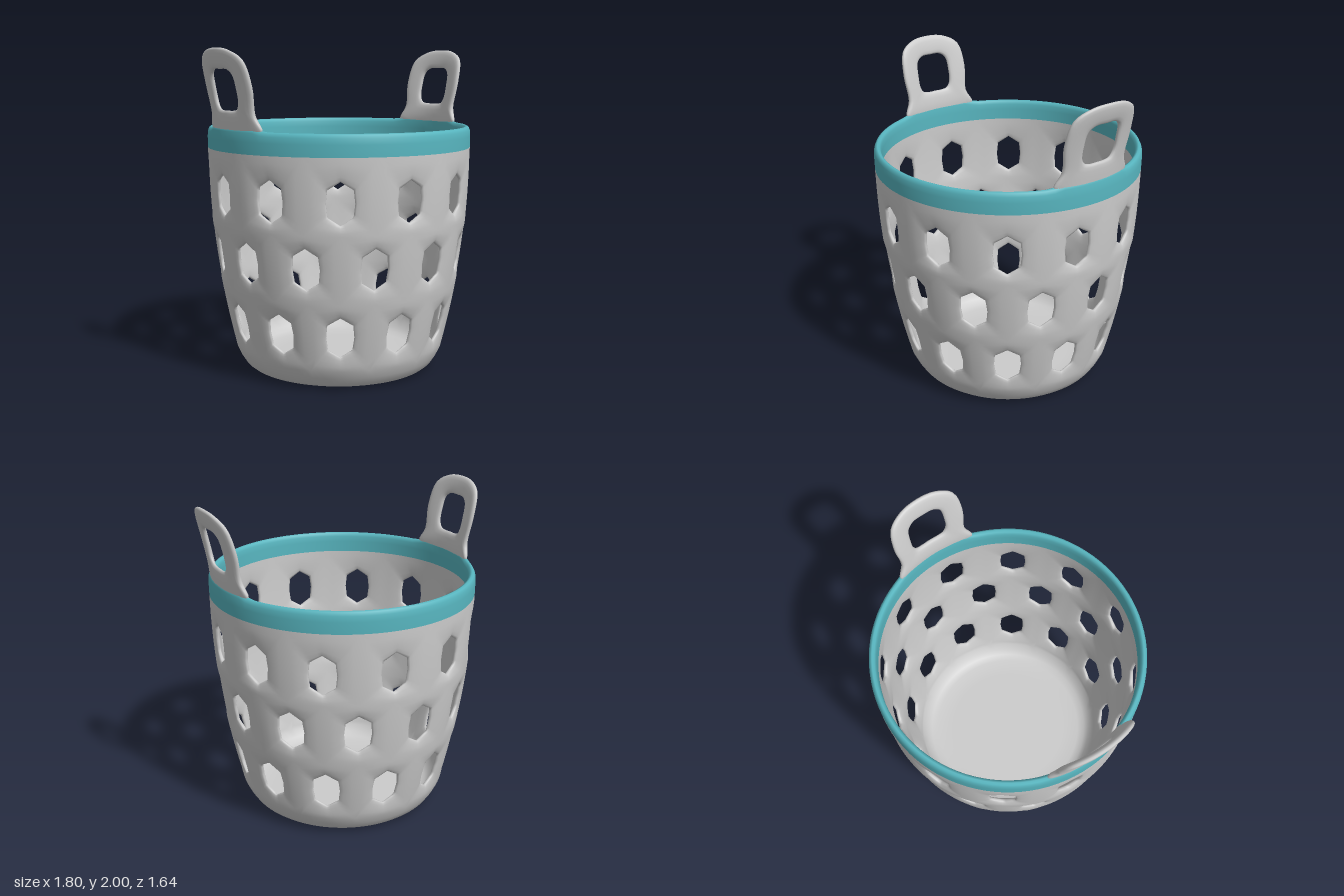
import * as THREE from 'three';
import { mergeGeometries, mergeVertices } from 'three/addons/utils/BufferGeometryUtils.js';

const SEGMENTS = 96, HOLES = 12, WALL = 0.045;
const outerRadius = y => 0.82 - 0.1 * (1.4 - y) ** 2;

// Point on a cylinder: angle runs from +z towards +x
const polar = (phi, r, y) => [r * Math.sin(phi), y, r * Math.cos(phi)];

// Skin of closed rings of [x, y, z] points
function loft(rings, closed = false) {
  const n = rings[0].length, index = [];
  const last = closed ? rings.length : rings.length - 1;
  for (let k = 0; k < last; k++) for (let i = 0; i < n; i++) {
    const k1 = ((k + 1) % rings.length) * n, i1 = (i + 1) % n;
    const a = k * n + i, b = k * n + i1, c = k1 + i1, d = k1 + i;
    index.push(a, b, d, b, c, d);
  }
  const geo = new THREE.BufferGeometry();
  geo.setAttribute('position', new THREE.Float32BufferAttribute(rings.flat(2), 3));
  geo.setIndex(index);
  return geo;
}

function lathe(points) {
  const geo = new THREE.LatheGeometry(points.map(p => new THREE.Vector2(...p)), SEGMENTS);
  geo.deleteAttribute('uv');
  geo.deleteAttribute('normal');
  return geo;
}

function smooth(geos) {
  const geo = mergeVertices(mergeGeometries(geos), 1e-4);
  geo.computeVertexNormals();
  return geo;
}

// Square border and octagonal hole, 32 matching points each, counter-clockwise
const border = [], octagon = [];
const corners = [[1, -1], [1, 1], [-1, 1], [-1, -1]];
const holeCorners = [[0.076, -0.078], [0.085, 0], [0.076, 0.078], [0, 0.125],
  [-0.076, 0.078], [-0.085, 0], [-0.076, -0.078], [0, -0.125]];
const mix = (a, b, t) => a.map((v, i) => v + (b[i] - v) * t);
for (let i = 0; i < 32; i++) {
  border.push(mix(corners[i >> 3], corners[((i >> 3) + 1) % 4], (i % 8) / 8));
  octagon.push(mix(holeCorners[i >> 2], holeCorners[((i >> 2) + 1) % 8], (i % 4) / 4));
}

// Wall section around a hole: [way from border to hole, depth into the wall]
const section = [[0, 0], [0.3, 0], [0.55, 0.06], [0.78, 0.16], [0.93, 0.27], [1, 0.4],
  [1, 0.65], [0.93, 0.78], [0.78, 0.88], [0.5, 0.97], [0.25, 1], [0, 1]];

// One wall cell with a rounded opening
function wallCell(phi, y0, y1, holeY) {
  const mid = (y0 + y1) / 2, half = (y1 - y0) / 2, width = Math.PI / HOLES;
  return loft(section.map(([t, depth]) => border.map(([bx, by], i) => {
    const [hx, hy] = octagon[i];
    const edge = [bx * width, mid + by * half];
    const hole = [hx / outerRadius(holeY), holeY + hy];
    const [a, y] = mix(edge, hole, t);
    return polar(phi + a, outerRadius(y) - WALL * depth, y);
  })));
}

function basketGeometry() {
  const levels = [0.13, 0.545, 0.955, 1.4], holeYs = [0.343, 0.755, 1.14];
  const geos = [];
  holeYs.forEach((holeY, row) => {
    const offset = THREE.MathUtils.degToRad(row === 1 ? 7.5 : -7.5);
    for (let i = 0; i < HOLES; i++) {
      geos.push(wallCell(offset + i * 2 * Math.PI / HOLES, levels[row], levels[row + 1], holeY));
    }
  });
  const r = outerRadius(0.13);
  // Underside and rounded foot, then the floor inside
  geos.push(lathe([[0, 0], [0.4, 0], [0.52, 0], [0.55, 0.004], [0.58, 0.015], [0.607, 0.037],
    [0.635, 0.08], [r, 0.13]]));
  geos.push(lathe([[r - WALL, 0.13], [0.585, 0.088], [0.555, 0.063], [0.51, 0.048],
    [0.4, 0.045], [0, 0.045]]));
  return smooth(geos);
}

// Coloured rim, rising slightly where the handles meet it
function rimGeometry() {
  const geo = smooth([lathe([[0.82, 1.4], [0.821, 1.47], [0.818, 1.505], [0.809, 1.524],
    [0.797, 1.53], [0.784, 1.524], [0.776, 1.505], [0.775, 1.47], [0.775, 1.4]])]);
  const p = geo.attributes.position;
  for (let i = 0; i < p.count; i++) {
    if (p.getY(i) < 1.5) continue;
    const rise = 1 - THREE.MathUtils.smoothstep(Math.abs(p.getZ(i)), 0.2, 0.29);
    p.setY(i, p.getY(i) + 0.018 * rise);
  }
  geo.computeVertexNormals();
  return geo;
}

// Handle loop: flattened section swept between an outer and an inner outline
function handleGeometry() {
  const outline = half => {
    const mirrored = half.slice(1, -1).reverse().map(([x, y]) => [-x, y]);
    return new THREE.CatmullRomCurve3(
      [...half, ...mirrored].map(([x, y]) => new THREE.Vector3(x, y, 0)), true);
  };
  const outer = outline([[0, 2], [0.12, 1.986], [0.212, 1.93], [0.238, 1.78],
    [0.224, 1.62], [0.262, 1.525], [0.14, 1.49], [0, 1.49]]);
  const inner = outline([[0, 1.88], [0.07, 1.877], [0.11, 1.845], [0.12, 1.765],
    [0.116, 1.69], [0.09, 1.652], [0.05, 1.643], [0, 1.643]]);
  const round = v => Math.sign(v) * Math.abs(v) ** 0.75;
  const rings = [];
  for (let u = 0; u < 56; u++) {
    const a = outer.getPoint(u / 56), b = inner.getPoint(u / 56), ring = [];
    for (let k = 0; k < 16; k++) {
      const v = k / 16 * 2 * Math.PI;
      const p = a.clone().lerp(b, (1 - round(Math.cos(v))) / 2);
      const r = 0.795 + 0.255 * Math.max(0, p.y - 1.53) ** 1.31;
      ring.push(polar(Math.PI / 2 + Math.asin(p.x / r), r + 0.019 * round(Math.sin(v)), p.y));
    }
    rings.push(ring);
  }
  return smooth([loft(rings, true)]);
}

export function createModel() {
  const group = new THREE.Group();
  const grey = new THREE.MeshStandardMaterial({ color: 0xcccccc });
  const teal = new THREE.MeshStandardMaterial({ color: 0x58b6c0 });
  const add = (name, geo, material) => {
    const mesh = new THREE.Mesh(geo, material);
    mesh.name = name;
    group.add(mesh);
    return mesh;
  };
  add('basketBody', basketGeometry(), grey);
  add('rimBand', rimGeometry(), teal);
  const handle = handleGeometry();
  add('leftHandle', handle, grey);
  add('rightHandle', handle, grey).rotation.y = Math.PI;
  return group;
}
